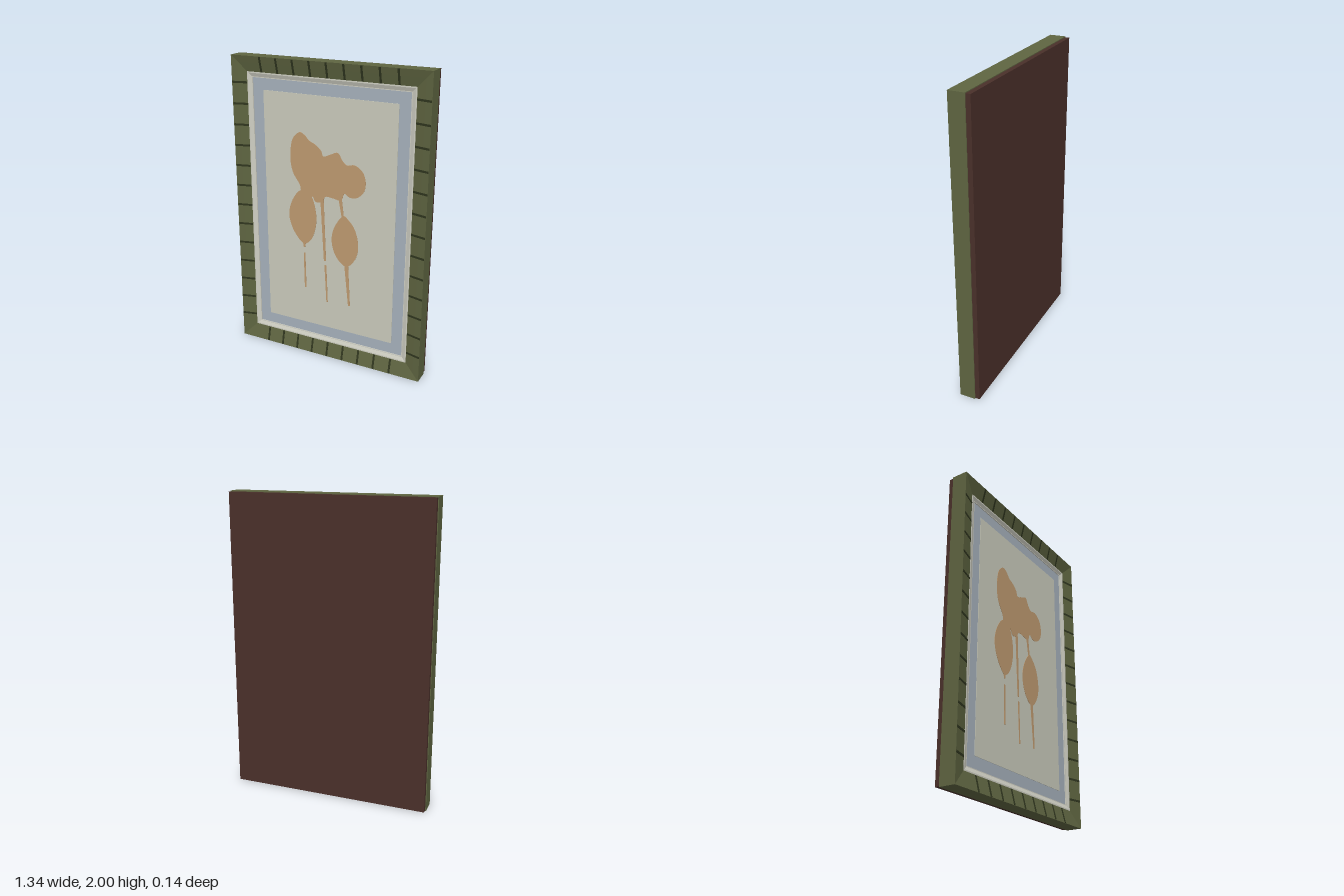
import * as THREE from 'three';

const material = (name, color, side = THREE.FrontSide) => {
  const m = new THREE.MeshStandardMaterial({ color, side });
  m.name = name;
  return m;
};

// Mitred rectangular moulding: profile is a list of [inset, z], from back to front to inside
function moulding(halfW, halfH, profile) {
  const corners = [[-1, -1], [1, -1], [1, 1], [-1, 1]];
  const point = ([inset, z], k) => {
    const [sx, sy] = corners[k % 4];
    return [sx * (halfW - inset), 1 + sy * (halfH - inset), z];
  };
  const pos = [];
  for (let i = 0; i < profile.length - 1; i++) {
    for (let k = 0; k < 4; k++) {
      const a = point(profile[i], k), b = point(profile[i], k + 1);
      const c = point(profile[i + 1], k + 1), d = point(profile[i + 1], k);
      pos.push(...a, ...b, ...c, ...a, ...c, ...d);
    }
  }
  const g = new THREE.BufferGeometry();
  g.setAttribute('position', new THREE.Float32BufferAttribute(pos, 3));
  g.computeVertexNormals();
  return g;
}

export function createModel() {
  const root = new THREE.Group();
  root.name = 'framedPicture';
  const green = material('frame green', 0x5f6541);
  const darkGreen = material('groove dark green', 0x30361f);
  const brown = material('backing brown', 0x4a302a);
  const cream = material('slip cream', 0xcfcfc3);
  const blue = material('mat blue', 0xa6b1bc);
  const paper = material('paper', 0xcacbbc);
  const tan = material('print tan', 0xbf9a70, THREE.DoubleSide);

  const add = (name, geometry, mat, parent = root) => {
    const m = new THREE.Mesh(geometry, mat);
    m.name = name;
    parent.add(m);
    return m;
  };
  const panel = (name, w, h, z0, z1, mat) =>
    add(name, new THREE.BoxGeometry(w, h, z1 - z0), mat).position.set(0, 1, (z0 + z1) / 2);

  // Frame mouldings, sloping in towards the picture
  add('frame', moulding(0.67, 1, [[0.1, -0.04], [0, -0.04], [0, 0.065], [0.045, 0.054], [0.1, 0.04], [0.1, 0.02]]), green);
  add('innerSlip', moulding(0.57, 0.9, [[0, 0.02], [0, 0.041], [0.008, 0.041], [0.03, 0.033], [0.035, 0.033], [0.035, 0.02]]), cream);

  // Flat layers
  panel('backing', 1.33, 1.99, -0.07, -0.038, brown);
  panel('mat', 1.12, 1.78, 0.015, 0.027, blue);
  panel('paper', 0.92, 1.58, 0.026, 0.03, paper);

  // Cross bars around the frame, lying on its slope
  const bars = new THREE.Group();
  bars.name = 'crossBars';
  root.add(bars);
  const barGeometry = new THREE.BoxGeometry(0.099, 0.013, 0.005);
  const bar = (x, y, inward) => {
    const b = add('crossBar', barGeometry, darkGreen, bars);
    b.position.set(x, y, 0.0525);
    b.rotation.set(0, Math.atan(0.25), inward, 'ZYX');
  };
  for (let i = 0; i < 13; i++) {
    const y = 0.177 + i * 0.1377;
    bar(-0.62, y, 0);
    bar(0.62, y, Math.PI);
  }
  for (let i = -4; i <= 4; i++) {
    bar(i * 0.1155, 1.95, -Math.PI / 2);
    bar(i * 0.1155, 0.05, Math.PI / 2);
  }

  // Printed flowers: smooth closed outlines as thin plates
  const print = new THREE.Group();
  print.name = 'flowerPrint';
  root.add(print);
  const plate = (name, shape) => {
    const g = new THREE.ExtrudeGeometry(shape, { depth: 0.002, bevelEnabled: false });
    add(name, g, tan, print).position.z = 0.0302;
  };
  const blob = (name, pts) => {
    const curve = new THREE.CatmullRomCurve3(pts.map(([x, y]) => new THREE.Vector3(x, y, 0)), true);
    plate(name, new THREE.Shape(curve.getPoints(pts.length * 5).slice(0, -1).map(p => new THREE.Vector2(p.x, p.y))));
  };
  blob('blossom', [
    [-0.2, 1.548], [-0.25, 1.505], [-0.272, 1.384], [-0.255, 1.28], [-0.205, 1.2], [-0.195, 1.16],
    [-0.15, 1.13], [-0.115, 1.135], [-0.09, 1.102], [-0.045, 1.11], [-0.02, 1.148], [0.035, 1.146],
    [0.09, 1.14], [0.115, 1.19], [0.15, 1.17], [0.2, 1.175], [0.247, 1.22], [0.258, 1.285],
    [0.235, 1.35], [0.18, 1.384], [0.13, 1.376], [0.1, 1.4], [0.066, 1.448], [0.015, 1.43],
    [-0.035, 1.412], [-0.05, 1.445], [-0.09, 1.48], [-0.135, 1.502], [-0.165, 1.532]]);
  blob('leftBud', [
    [-0.2, 1.165], [-0.262, 1.09], [-0.289, 0.987], [-0.267, 0.897], [-0.22, 0.825], [-0.178, 0.795],
    [-0.13, 0.828], [-0.094, 0.918], [-0.088, 1.013], [-0.11, 1.11], [-0.14, 1.16]]);
  blob('rightBud', [
    [0.11, 1.04], [0.048, 0.96], [0.024, 0.865], [0.045, 0.77], [0.09, 0.71], [0.132, 0.69],
    [0.177, 0.728], [0.21, 0.802], [0.21, 0.886], [0.182, 0.971], [0.14, 1.02]]);

  // Stems taper from one width to another
  const stem = (x0, y0, w0, x1, y1, w1) => plate('stem', new THREE.Shape([
    new THREE.Vector2(x0 - w0 / 2, y0), new THREE.Vector2(x1 - w1 / 2, y1),
    new THREE.Vector2(x1 + w1 / 2, y1), new THREE.Vector2(x0 + w0 / 2, y0)]));
  stem(0.083, 1.16, 0.024, 0.103, 1.03, 0.016);
  stem(-0.045, 1.13, 0.024, -0.025, 0.7, 0.016);
  stem(-0.022, 0.67, 0.014, -0.01, 0.4, 0.01);
  stem(-0.178, 0.81, 0.024, -0.178, 0.77, 0.01);
  stem(-0.178, 0.73, 0.012, -0.173, 0.475, 0.012);
  stem(0.13, 0.705, 0.028, 0.153, 0.41, 0.014);
  return root;
}
